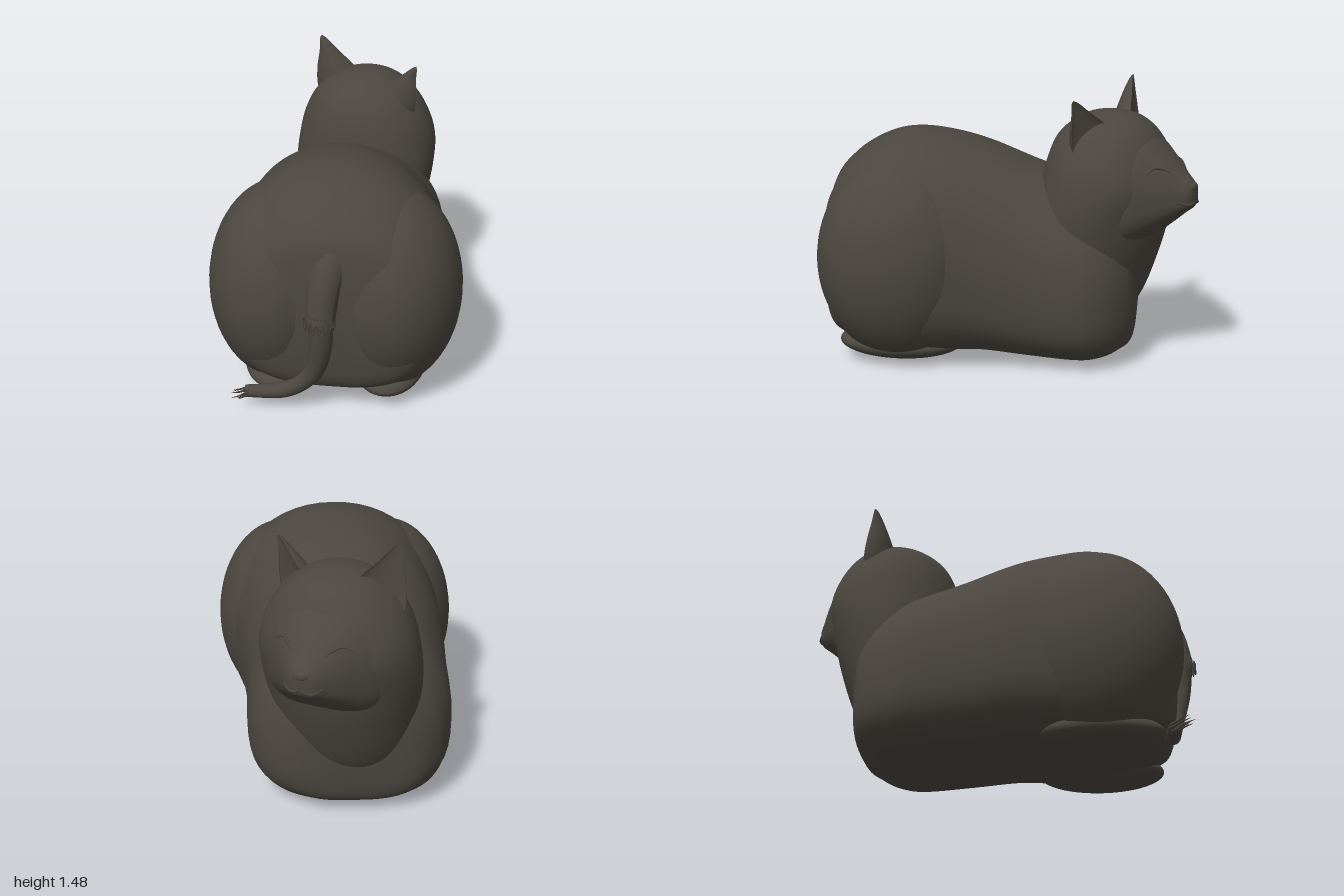
import * as THREE from 'three';

const fur = new THREE.MeshStandardMaterial({ color: 0x4b463f });
fur.name = 'darkFur';
fur.side = THREE.DoubleSide;

function add(parent, name, geometry) {
  const mesh = new THREE.Mesh(geometry, fur);
  mesh.name = name;
  parent.add(mesh);
  return mesh;
}

// Smooth skin through a few sections; point(section, angle) places one ring vertex.
function loft(sections, point, steps = 6, sides = 56) {
  const size = sections[0].length;
  const curve = new THREE.CubicInterpolant(sections.map((_, i) => i), sections.flat(), size);
  const rows = (sections.length - 1) * steps;
  const pos = [], index = [];
  for (let i = 0; i <= rows; i++) {
    const sec = Array.from(curve.evaluate(i / steps));
    for (let j = 0; j < sides; j++) {
      pos.push(...point(sec, (j / sides) * Math.PI * 2));
      if (i === rows) continue;
      const a = i * sides + j, b = i * sides + ((j + 1) % sides);
      index.push(a, b, a + sides, b, b + sides, a + sides);
    }
  }
  const g = new THREE.BufferGeometry();
  g.setAttribute('position', new THREE.Float32BufferAttribute(pos, 3));
  g.setIndex(index);
  g.computeVertexNormals();
  return g;
}

const power = (v, e) => Math.sign(v) * Math.abs(v) ** e;

// Section across z: [z, centre x, half width, top, bottom], squarer underneath.
const across = ([z, cx, w, top, bottom], u) => {
  const c = Math.cos(u), s = Math.sin(u), e = s > 0 ? 0.94 : 0.66;
  const cy = bottom + 0.42 * (top - bottom);
  return [cx + Math.max(w, 0) * power(c, e), cy + power(s, e) * (s > 0 ? top - cy : cy - bottom), z];
};

// Section across y: [y, centre z, x radius, z radius]
const upright = ([y, cz, rx, rz], u) =>
  [Math.max(rx, 0) * Math.cos(u), y, cz - Math.max(rz, 0) * Math.sin(u)];

function ellipsoid(parent, name, [x, y, z], [rx, ry, rz]) {
  const g = new THREE.SphereGeometry(1, 48, 32);
  g.scale(rx, ry, rz);
  g.translate(x, y, z);
  return add(parent, name, g);
}

// Tube whose radius follows radius(t)
function taperedTube(curve, segments, sides, radius) {
  const g = new THREE.TubeGeometry(curve, segments, 1, sides);
  const p = g.attributes.position, v = new THREE.Vector3();
  for (let i = 0; i < p.count; i++) {
    const t = Math.floor(i / (sides + 1)) / segments;
    const c = curve.getPointAt(t);
    v.fromBufferAttribute(p, i).sub(c).multiplyScalar(radius(t)).add(c);
    p.setXYZ(i, v.x, v.y, v.z);
  }
  g.computeVertexNormals();
  return g;
}

const spline = (pts) => new THREE.CatmullRomCurve3(pts.map((p) => new THREE.Vector3(...p)));

function buildBody() {
  const body = new THREE.Group();
  body.name = 'body';
  add(body, 'torso', loft([
    [-0.825, -0.09, 0, 0.42, 0.38],
    [-0.80, -0.09, 0.28, 0.67, 0.12],
    [-0.72, -0.08, 0.42, 0.79, 0.05],
    [-0.62, -0.07, 0.49, 0.885, 0.015],
    [-0.50, -0.07, 0.525, 0.95, 0.005],
    [-0.25, -0.07, 0.53, 1.04, 0.02],
    [0, -0.06, 0.55, 1.14, 0.045],
    [0.20, -0.035, 0.575, 1.195, 0.045],
    [0.39, -0.03, 0.605, 1.21, 0.05],
    [0.55, -0.03, 0.59, 1.17, 0.07],
    [0.70, -0.03, 0.515, 1.075, 0.11],
    [0.80, -0.02, 0.37, 0.93, 0.2],
    [0.835, -0.02, 0, 0.58, 0.52],
  ], across));
  for (const side of [-1, 1]) {
    const x = side * 0.285 - 0.035;
    ellipsoid(body, 'haunch', [x, 0.56, 0.425], [0.365, 0.535, 0.435]);
    ellipsoid(body, 'hindFoot', [x, 0.11, 0.42], [0.19, 0.085, 0.33]);
  }
  body.rotation.y = 0.6435;
  return body;
}

function buildHead() {
  const head = new THREE.Group();
  head.name = 'head';
  const skull = add(head, 'neckAndSkull', loft([
    [0.15, 0.20, 0.28, 0.24],
    [0.35, 0.14, 0.34, 0.31],
    [0.60, 0.075, 0.385, 0.335],
    [0.80, 0.03, 0.408, 0.337],
    [0.95, 0, 0.398, 0.345],
    [1.08, 0, 0.362, 0.318],
    [1.20, 0.005, 0.292, 0.265],
    [1.28, 0, 0.20, 0.185],
    [1.32, 0, 0.105, 0.10],
    [1.333, 0, 0, 0],
  ], upright));
  const muzzle = add(head, 'muzzle', loft([
    [-0.492, 0, 0, 0.96, 0.92],
    [-0.475, 0, 0.06, 1.0, 0.87],
    [-0.42, 0, 0.115, 1.05, 0.825],
    [-0.33, 0, 0.20, 1.14, 0.75],
    [-0.20, 0, 0.30, 1.235, 0.65],
    [0, 0, 0.33, 1.25, 0.55],
  ], across));
  ellipsoid(head, 'nose', [0, 0.975, -0.472], [0.04, 0.025, 0.022]);

  // Closed lids and mouth corners, laid onto the face
  const ray = new THREE.Raycaster();
  const onFace = (x, y) => {
    ray.set(new THREE.Vector3(x, y, -2), new THREE.Vector3(0, 0, 1));
    return ray.intersectObjects([skull, muzzle])[0].point.toArray();
  };
  const crease = (name, fn) => {
    const pts = Array.from({ length: 9 }, (_, i) => onFace(...fn(i / 8)));
    add(head, name, taperedTube(spline(pts), 20, 6, (t) => 0.002 + 0.007 * Math.sin(Math.PI * t)));
  };
  for (const side of [-1, 1]) {
    crease('closedEye', (t) => [side * (0.085 + 0.11 * t), 1.05 + 0.03 * Math.sin(Math.PI * t)]);
    crease('mouthCorner', (t) => [side * 0.1 * t, 0.91 - 0.02 * Math.sin(Math.PI * t)]);
  }
  head.position.set(-0.40, 0, -0.52);
  head.rotation.y = 0.21;
  return head;
}

// Pointed ear with a hollow front, turned a little outwards
function buildEar(base, tip, turn) {
  const mix = THREE.MathUtils.lerp;
  return loft([
    [0, 0.18, 0.13], [0.3, 0.165, 0.125], [0.55, 0.12, 0.10], [0.8, 0.055, 0.055], [0.95, 0.022, 0.02], [1, 0, 0],
  ], ([k, rx, rz], u) => {
    const bend = Math.max(k, 0) ** 1.2, s = Math.sin(u);
    const x = Math.max(rx, 0) * Math.cos(u), z = -Math.max(rz, 0) * s * (s > 0 ? -0.2 : 1);
    return [
      mix(base[0], tip[0], bend) + x * Math.cos(turn) + z * Math.sin(turn),
      mix(base[1], tip[1], k),
      mix(base[2], tip[2], bend) - x * Math.sin(turn) + z * Math.cos(turn),
    ];
  }, 6, 32);
}

function buildTail() {
  const tail = new THREE.Group();
  tail.name = 'tail';
  const root = spline([[0.42, 0.98, 0.48], [0.45, 0.78, 0.645], [0.47, 0.55, 0.715]]);
  add(tail, 'tailRoot', taperedTube(root, 24, 20, (t) => 0.10 - 0.028 * t));
  const lower = spline([[0.47, 0.62, 0.71], [0.46, 0.42, 0.70], [0.40, 0.24, 0.70],
    [0.28, 0.12, 0.77], [0.12, 0.095, 0.90]]);
  add(tail, 'lowerTail', taperedTube(lower, 48, 20, (t) => 0.066 - 0.034 * t));

  // Ragged fringe where the two parts of the tail meet
  const fringe = Array.from({ length: 33 }, (_, i) => {
    const a = (i / 32) * Math.PI * 2;
    return [0.47 + 0.074 * Math.cos(a), 0.565 + (i % 2 ? 0.03 : -0.025), 0.715 + 0.074 * Math.sin(a)];
  });
  add(tail, 'tailFringe', new THREE.TubeGeometry(spline(fringe), 128, 0.004, 5));

  // Loose hairs at the tip
  for (let i = 0; i < 9; i++) {
    const a = i * 2.4, r = 0.022;
    const x = 0.125 + r * Math.cos(a), y = 0.10 + r * Math.sin(a);
    const hair = spline([[x + 0.02, y, 0.87], [x, y, 0.93], [x + 0.01 * Math.cos(a), y + 0.01, 0.96 + 0.004 * i]]);
    add(tail, 'tailHair', taperedTube(hair, 8, 5, (t) => 0.009 * (1 - t) + 0.001));
  }
  return tail;
}

export function createModel() {
  const model = new THREE.Group();
  model.name = 'restingCat';
  model.add(buildBody(), buildHead(), buildTail());
  add(model, 'rightEar', buildEar([-0.555, 1.05, -0.56], [-0.68, 1.48, -0.435], 0.5));
  add(model, 'leftEar', buildEar([-0.275, 1.05, -0.62], [-0.065, 1.415, -0.55], -0.35));
  return model;
}
